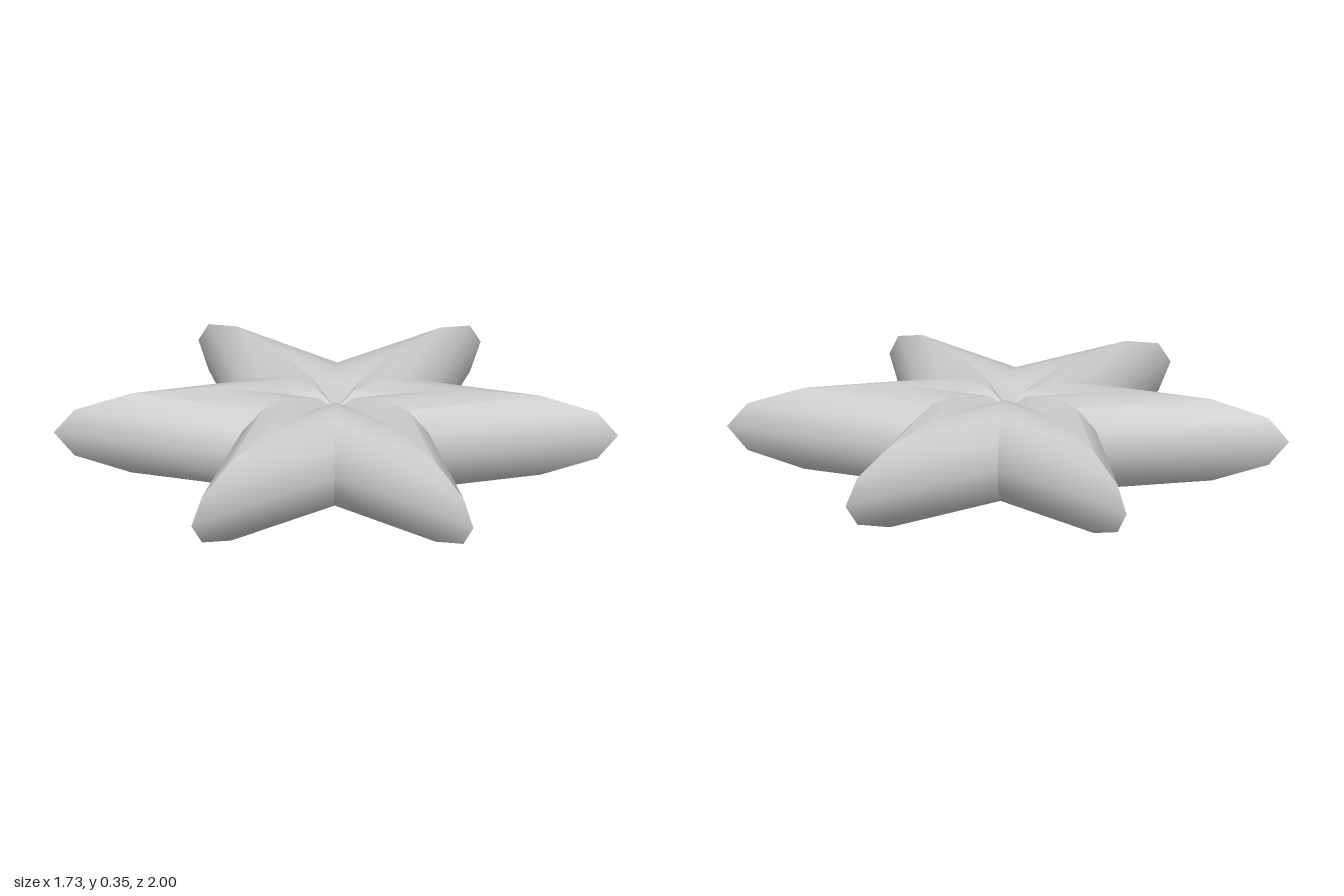
import * as THREE from 'three';
import { toCreasedNormals } from 'three/addons/utils/BufferGeometryUtils.js';

const POINTS = 6, TIP = 1, VALLEY = 0.41, HALF = 0.175;

// Rounded rim profile from the top centre pit to the bottom centre pit: [scale of star outline, y]
function rimProfile() {
  const profile = [[0, HALF * 1.547]];
  for (let deg = 120; deg >= -120; deg -= 30) {
    const a = THREE.MathUtils.degToRad(deg);
    profile.push([0.45 + 0.55 * Math.cos(a), HALF * (1 + Math.sin(a))]);
  }
  profile.push([0, HALF * 0.453]);
  return profile;
}

// Scaled star outlines stacked along the profile
function starGeometry() {
  const profile = rimProfile(), corners = POINTS * 2;
  const positions = [], index = [];
  for (const [scale, y] of profile) {
    for (let k = 0; k < corners; k++) {
      const a = (k / corners) * Math.PI * 2;
      const r = scale * (k % 2 ? TIP : VALLEY);
      positions.push(Math.cos(a) * r, y, Math.sin(a) * r);
    }
  }
  const last = profile.length - 2;
  for (let i = 0; i <= last; i++) {
    for (let k = 0; k < corners; k++) {
      const n = (k + 1) % corners;
      const a = i * corners + k, b = i * corners + n;
      const c = a + corners, d = b + corners;
      if (i > 0) index.push(a, b, c);
      if (i === 0) index.push(a, d, c);
      else if (i < last) index.push(b, d, c);
    }
  }
  const geometry = new THREE.BufferGeometry();
  geometry.setAttribute('position', new THREE.Float32BufferAttribute(positions, 3));
  geometry.setIndex(index);
  return toCreasedNormals(geometry, 0.65);
}

export function createModel() {
  const group = new THREE.Group();
  group.name = 'star';
  const body = new THREE.Mesh(starGeometry(), new THREE.MeshStandardMaterial({ color: 0xcccccc }));
  body.name = 'starBody';
  group.add(body);
  return group;
}
